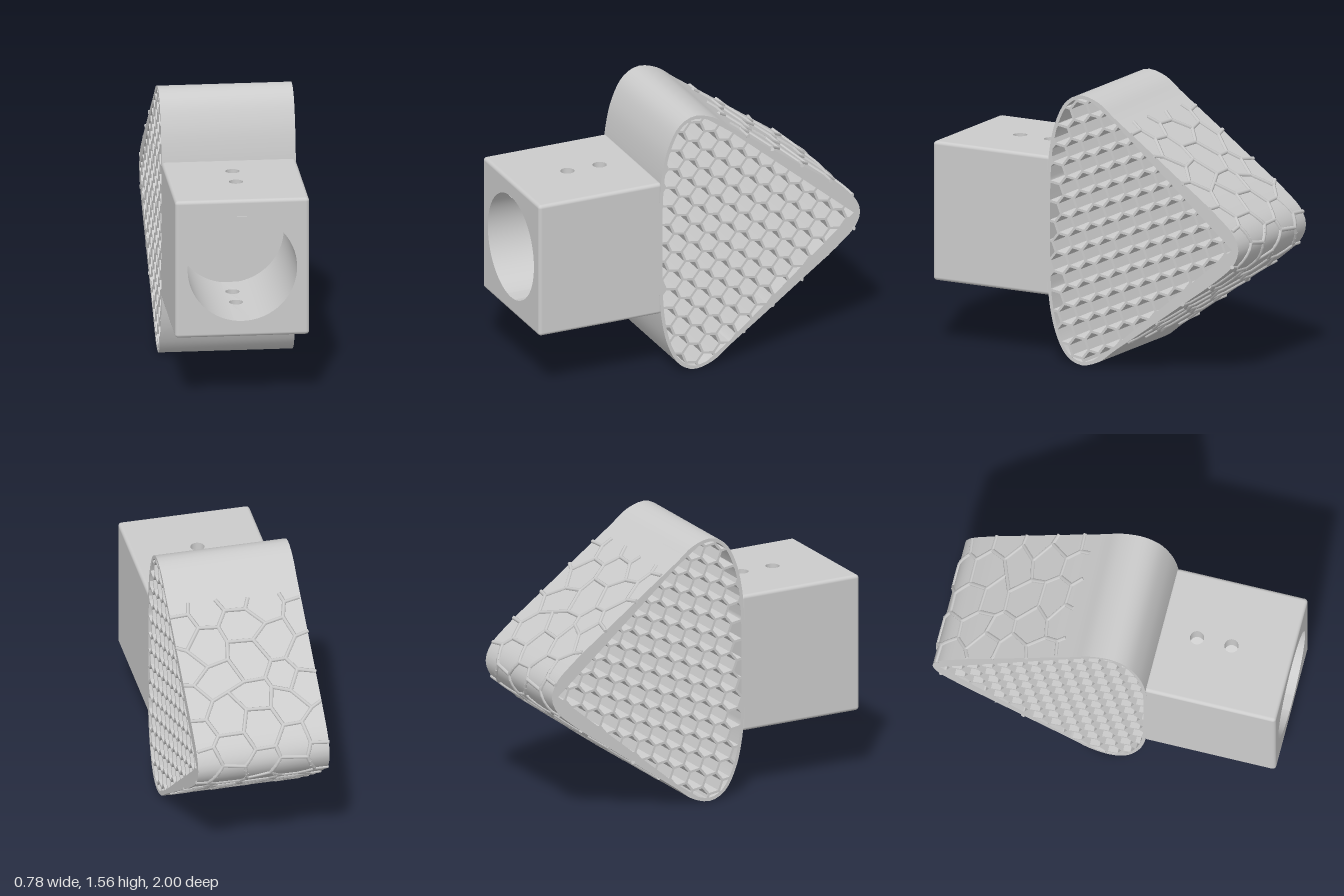
import * as THREE from 'three';
import { mergeGeometries, toCreasedNormals } from 'three/addons/utils/BufferGeometryUtils.js';
import { RoundedBoxGeometry } from 'three/addons/geometries/RoundedBoxGeometry.js';

const W = 0.38;        // half width in x
const CY = 0.78;       // middle height
const BORE = 0.31;     // socket bore radius
const BORE_END = 0.27; // z of the bore floor
const PIN = 0.04;      // pin hole radius
const PIN_Z = [0.45, 0.65];

const material = new THREE.MeshStandardMaterial({ color: 0xcccccc, side: THREE.DoubleSide });

function add(group, name, geometry) {
  const mesh = new THREE.Mesh(geometry, material);
  mesh.name = name;
  group.add(mesh);
  return mesh;
}

function rectShape(x0, y0, x1, y1) {
  return new THREE.Shape([[x0, y0], [x1, y0], [x1, y1], [x0, y1]].map(p => new THREE.Vector2(...p)));
}

function ellipseHole(x, y, rx, ry) {
  return new THREE.Path().absellipse(x, y, rx, ry, 0, Math.PI * 2, true);
}

// Closed rounded-triangle outline, x pointing to the tip, counter-clockwise from the tip
function makeOutline() {
  const half = [[0.96, 0.865], [0.85, 0.968], [0.61, 1.145], [0.38, 1.312], [0.18, 1.455], [0.08, 1.53], [-0.04, 1.56],
    [-0.13, 1.515], [-0.2, 1.39], [-0.24, 1.22], [-0.253, 1.05]];
  const pts = [[0.99, CY], ...half, [-0.255, CY], ...half.map(([x, y]) => [x, 2 * CY - y]).reverse()];
  return new THREE.CatmullRomCurve3(pts.map(([x, y]) => new THREE.Vector3(x, y, 0)), true, 'centripetal');
}

// Clip a polygon to the convex outline moved inward by t
function clipInside(poly, outline, t) {
  for (let i = 0; i < outline.length && poly.length; i++) {
    const a = outline[i], b = outline[(i + 1) % outline.length];
    const d = b.clone().sub(a).normalize();
    const depth = p => d.x * (p.y - a.y) - d.y * (p.x - a.x) - t;
    const out = [];
    poly.forEach((p, j) => {
      const q = poly[(j + 1) % poly.length], dp = depth(p), dq = depth(q);
      if (dp >= 0) out.push(p);
      if (dp * dq < 0) out.push(p.clone().lerp(q, dp / (dp - dq)));
    });
    poly = out;
  }
  return poly;
}

// Centres of a hexagon grid with circumradius r, flat sides along y
function hexCentres(r, nx, ny) {
  const list = [];
  for (let i = -nx; i <= nx; i++) {
    for (let j = -ny; j <= ny; j++) {
      list.push(new THREE.Vector2(i * 1.5 * r, (j + (i & 1) / 2) * Math.sqrt(3) * r));
    }
  }
  return list;
}

const hexCorner = (c, r, k) =>
  new THREE.Vector2(c.x + r * Math.cos(k * Math.PI / 3), c.y + r * Math.sin(k * Math.PI / 3));

// Outer wall and honeycomb core in one extrusion
function honeycombBody(curve) {
  const outline = curve.getSpacedPoints(120).slice(0, -1).map(p => new THREE.Vector2(p.x, p.y));
  const shape = new THREE.Shape(outline);
  const r = 0.065, turn = -0.15, middle = new THREE.Vector2(0.35, CY), origin = new THREE.Vector2();
  for (const c of hexCentres(r, 10, 10)) {
    const hex = [0, 1, 2, 3, 4, 5].map(k => hexCorner(c, r - 0.008, k).rotateAround(origin, turn).add(middle));
    const cell = clipInside(hex, outline, 0.02);
    if (cell.length > 2 && Math.abs(THREE.ShapeUtils.area(cell)) > 0.0004) {
      shape.holes.push(new THREE.Path(cell.reverse()));
    }
  }
  const geo = new THREE.ExtrudeGeometry(shape, { depth: 2 * W, bevelEnabled: false });
  return toCreasedNormals(geo.translate(0, 0, -W), 0.5);
}

// Irregular hexagonal ribs wrapped over both slopes and around the tip
function surfaceRibs(curve) {
  const length = curve.getLength(), r = 0.12, reach = 1.0, steps = 4;
  const noise = (x, y, k) => {
    const v = Math.sin(Math.round(x * 100) * 12.99 + Math.round(y * 100) * 78.23 + k * 37.7) * 43758.5;
    return (v - Math.floor(v) - 0.5) * 0.06;
  };
  const jitter = p => new THREE.Vector2(p.x + noise(p.x, p.y, 1), p.y + noise(p.x, p.y, 2));
  const wrap = p => {
    const q = curve.getPointAt((p.y / length + 1) % 1);
    return q.setZ(THREE.MathUtils.clamp(p.x, -W, W));
  };
  const parts = [], up = new THREE.Vector3(0, 1, 0);
  for (const c of hexCentres(r, 3, 6)) {
    for (let k = 0; k < 3; k++) {
      const a = jitter(hexCorner(c, r, k)), b = jitter(hexCorner(c, r, k + 1));
      for (let i = 0; i < steps; i++) {
        const p = a.clone().lerp(b, i / steps), q = a.clone().lerp(b, (i + 1) / steps);
        const m = p.clone().lerp(q, 0.5);
        if (Math.abs(m.x) > W || Math.abs(m.y) > reach) continue;
        const P = wrap(p), Q = wrap(q), dir = Q.clone().sub(P);
        const geo = new THREE.CylinderGeometry(0.012, 0.012, dir.length() + 0.006, 6);
        geo.applyQuaternion(new THREE.Quaternion().setFromUnitVectors(up, dir.normalize()));
        parts.push(geo.translate(...P.add(Q).multiplyScalar(0.5).toArray()));
      }
    }
  }
  return mergeGeometries(parts);
}

// Rounded block without its flat front, top and bottom faces
function blockShell(size, radius) {
  const box = new RoundedBoxGeometry(size.x, size.y, size.z, 3, radius);
  const geo = box.index ? box.toNonIndexed() : box;
  const pos = geo.attributes.position, nor = geo.attributes.normal, keepP = [], keepN = [];
  for (let i = 0; i < pos.count; i += 3) {
    const ids = [i, i + 1, i + 2];
    const front = ids.every(v => pos.getZ(v) > size.z / 2 - 1e-5);
    const cap = ids.every(v => Math.abs(pos.getY(v)) > size.y / 2 - 1e-5);
    if (front || cap) continue;
    for (const v of ids) {
      keepP.push(pos.getX(v), pos.getY(v), pos.getZ(v));
      keepN.push(nor.getX(v), nor.getY(v), nor.getZ(v));
    }
  }
  const out = new THREE.BufferGeometry();
  out.setAttribute('position', new THREE.Float32BufferAttribute(keepP, 3));
  out.setAttribute('normal', new THREE.Float32BufferAttribute(keepN, 3));
  return out;
}

function makeSocket() {
  const socket = new THREE.Group();
  socket.name = 'socketBlock';
  const z0 = 0.235, size = new THREE.Vector3(2 * W, 0.805, 1 - z0), rad = 0.02;
  const hx = W - rad, hy = size.y / 2;
  add(socket, 'blockShell', blockShell(size, rad)).position.set(0, CY, (1 + z0) / 2);

  // Front face with the round opening
  const face = rectShape(-hx, CY - hy + rad, hx, CY + hy - rad);
  face.holes.push(ellipseHole(0, CY, BORE, BORE));
  add(socket, 'frontFace', new THREE.ShapeGeometry(face, 32).translate(0, 0, 1));

  // Bore: two plain sides, and drilled strips above and below
  const a = 0.15, depth = 1 - BORE_END;
  for (const start of [a, Math.PI + a]) {
    const side = new THREE.CylinderGeometry(BORE, BORE, depth, 40, 1, true, start, Math.PI - 2 * a);
    add(socket, 'boreSide', side.rotateX(Math.PI / 2).translate(0, CY, (1 + BORE_END) / 2));
  }
  const floor = new THREE.CircleGeometry(BORE, 64);
  add(socket, 'boreFloor', floor.translate(0, CY, BORE_END));

  for (const s of [1, -1]) {
    const strip = rectShape(-a, BORE_END, a, 1);
    const plate = rectShape(-hx, z0 + rad, hx, 1 - rad);
    for (const z of PIN_Z) {
      strip.holes.push(ellipseHole(0, z, PIN / BORE, PIN));
      plate.holes.push(ellipseHole(0, z, PIN, PIN));
      const tube = new THREE.CylinderGeometry(PIN, PIN, hy - BORE + 0.003, 24, 1, true);
      add(socket, 'pinHole', tube.translate(0, CY + s * (hy + BORE - 0.003) / 2, z));
    }
    const stripGeo = new THREE.ShapeGeometry(strip, 12), p = stripGeo.attributes.position;
    for (let i = 0; i < p.count; i++) {
      const t = p.getX(i);
      p.setXYZ(i, BORE * Math.sin(t), CY + s * BORE * Math.cos(t), p.getY(i));
    }
    // turn the winding so the drilled strip faces the bore axis
    if (s < 0) stripGeo.setIndex([...stripGeo.index.array].reverse());
    stripGeo.computeVertexNormals();
    add(socket, 'boreStrip', stripGeo);

    const plateGeo = new THREE.ShapeGeometry(plate, 12).rotateX(Math.PI / 2);
    if (s > 0) plateGeo.setIndex([...plateGeo.index.array].reverse());
    plateGeo.computeVertexNormals();
    add(socket, s > 0 ? 'topFace' : 'bottomFace', plateGeo.translate(0, CY + s * hy, 0));
  }
  return socket;
}

export function createModel() {
  const model = new THREE.Group();
  model.name = 'honeycombWedge';
  const curve = makeOutline();
  curve.arcLengthDivisions = 600;
  const wedge = new THREE.Group();
  wedge.name = 'wedge';
  wedge.rotation.y = Math.PI / 2; // tip towards the back
  add(wedge, 'honeycombBody', honeycombBody(curve));
  add(wedge, 'surfaceRibs', surfaceRibs(curve));
  model.add(wedge, makeSocket());
  return model;
}
